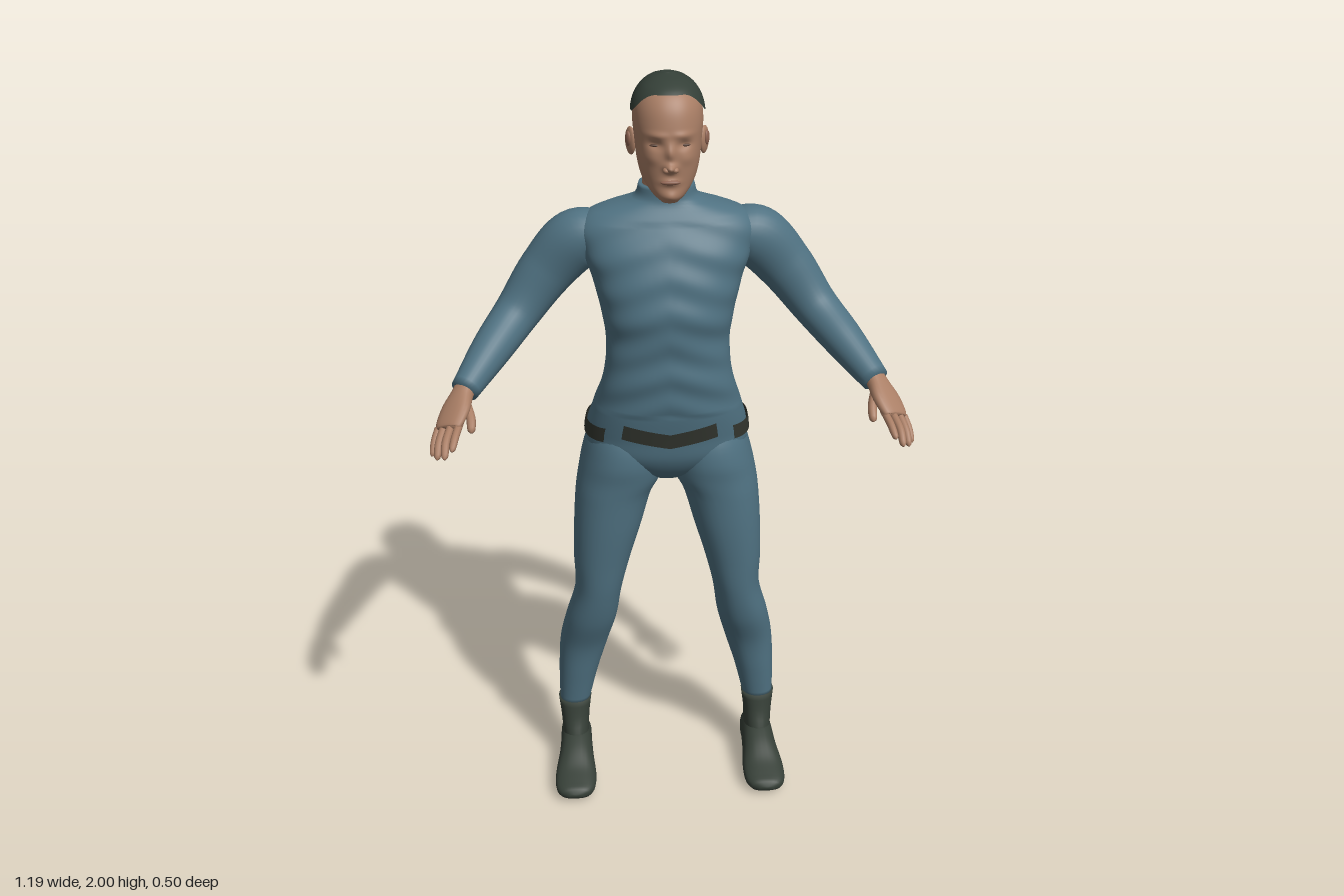
import * as THREE from 'three';

const mat = (name, color, side = THREE.FrontSide) => {
  const m = new THREE.MeshStandardMaterial({ color, side });
  m.name = name;
  return m;
};

// Smooth interpolation of a table whose first column is the parameter
function at(keys, s) {
  let i = 0;
  while (i < keys.length - 2 && s > keys[i + 1][0]) i++;
  const a = keys[i], b = keys[i + 1], p = keys[Math.max(i - 1, 0)], q = keys[Math.min(i + 2, keys.length - 1)];
  const h = b[0] - a[0], t = (s - a[0]) / h, t2 = t * t, t3 = t2 * t;
  return a.map((v, k) => (2 * t3 - 3 * t2 + 1) * v + (3 * t2 - 2 * t3) * b[k]
    + (t3 - 2 * t2 + t) * h * (b[k] - p[k]) / (b[0] - p[0])
    + (t3 - t2) * h * (q[k] - a[k]) / (q[0] - a[0]));
}

// Skin between closed rings; point(u, j) with u in 0..1 and angle index j
function skin(rows, cols, point, capStart = true, capEnd = true) {
  const pos = [], idx = [];
  for (let i = 0; i <= rows; i++)
    for (let j = 0; j < cols; j++) pos.push(...point(i / rows, (j / cols) * Math.PI * 2));
  for (let i = 0; i < rows; i++)
    for (let j = 0; j < cols; j++) {
      const a = i * cols + j, b = i * cols + (j + 1) % cols;
      idx.push(a, b, a + cols, b, b + cols, a + cols);
    }
  const cap = (row, flip) => {
    const c = [0, 0, 0], n = pos.length / 3;
    for (let j = 0; j < cols; j++) for (let k = 0; k < 3; k++) c[k] += pos[(row * cols + j) * 3 + k] / cols;
    pos.push(...c);
    for (let j = 0; j < cols; j++) {
      const a = row * cols + j, b = row * cols + (j + 1) % cols;
      flip ? idx.push(n, b, a) : idx.push(n, a, b);
    }
  };
  if (capStart) cap(0, true);
  if (capEnd) cap(rows, false);
  const g = new THREE.BufferGeometry();
  g.setAttribute('position', new THREE.Float32BufferAttribute(pos, 3));
  g.setIndex(idx);
  g.computeVertexNormals();
  return g;
}

const sp = (v, n) => Math.sign(v) * Math.abs(v) ** (2 / n);

// Horizontal section point; table rows are [y, x0, x1, zBack, zFront]
function section(keys, y, phi, n = 2.2, off = 0) {
  const [, x0, x1, zb, zf] = at(keys, y);
  return [(x0 + x1) / 2 + (Math.max((x1 - x0) / 2, 0) + off) * sp(Math.cos(phi), n), y,
    (zb + zf) / 2 - (Math.max((zf - zb) / 2, 0) + off) * sp(Math.sin(phi), n)];
}
const loft = (keys, rows, cols, n, rule = p => p) => skin(rows, cols, (u, phi) =>
  rule(section(keys, keys[0][0] + u * (keys.at(-1)[0] - keys[0][0]), phi, n)));

// Tube along a table [s, x, y, z, a, b]; a is the half-width along "hint"
function sweep(keys, hint, rows, cols, n = 2) {
  const s0 = keys[0][0], s1 = keys.at(-1)[0], e = (s1 - s0) * 0.01, V = s => new THREE.Vector3(...at(keys, s).slice(1, 4));
  return skin(rows, cols, (u, phi) => {
    const s = s0 + u * (s1 - s0), [, , , , a, b] = at(keys, s);
    const t = V(Math.min(s + e, s1)).sub(V(Math.max(s - e, s0))).normalize();
    const w = new THREE.Vector3(...hint).addScaledVector(t, -t.dot(new THREE.Vector3(...hint))).normalize();
    const v = t.clone().cross(w);
    return V(s).addScaledVector(w, a * sp(Math.cos(phi), n)).addScaledVector(v, b * sp(Math.sin(phi), n)).toArray();
  });
}

function mirrored(geo) {
  const g = geo.clone().scale(-1, 1, 1), i = g.index;
  for (let k = 0; k < i.count; k += 3) {
    const a = i.getX(k);
    i.setX(k, i.getX(k + 1));
    i.setX(k + 1, a);
  }
  return g;
}

const sym = rows => rows.map(([y, w, zb, zf]) => [y, -w, w, zb, zf]);
const TORSO = sym([[0.94, 0.05, -0.13, -0.04], [0.97, 0.12, -0.18, 0], [1.02, 0.2, -0.222, 0.03], [1.08, 0.209, -0.238, 0.04],
  [1.15, 0.192, -0.2, 0.052], [1.25, 0.163, -0.15, 0.062], [1.34, 0.156, -0.165, 0.062], [1.42, 0.168, -0.188, 0.068],
  [1.5, 0.188, -0.195, 0.052], [1.57, 0.212, -0.193, 0.028], [1.62, 0.222, -0.188, 0.002], [1.655, 0.195, -0.18, -0.018],
  [1.675, 0.14, -0.174, -0.032], [1.69, 0.085, -0.167, -0.038], [1.725, 0.068, -0.162, -0.04]]);
const HEAD = sym([[1.715, 0.02, 0, 0.042], [1.73, 0.04, -0.05, 0.05], [1.76, 0.062, -0.1, 0.05], [1.8, 0.074, -0.125, 0.053],
  [1.85, 0.08, -0.148, 0.054], [1.9, 0.084, -0.159, 0.049], [1.94, 0.078, -0.156, 0.036], [1.97, 0.06, -0.136, 0.01],
  [1.987, 0.035, -0.11, -0.025], [1.995, 0.008, -0.08, -0.06]]);
const LEG = [[0.2, 0.22, 0.305, -0.168, -0.083], [0.3, 0.195, 0.304, -0.19, -0.07], [0.4, 0.165, 0.298, -0.203, -0.055],
  [0.5, 0.14, 0.278, -0.175, -0.02], [0.6, 0.125, 0.252, -0.16, 0], [0.7, 0.1, 0.253, -0.167, 0.01], [0.8, 0.07, 0.25, -0.18, 0.018],
  [0.9, 0.04, 0.243, -0.205, 0.022], [0.95, 0.012, 0.235, -0.222, 0.025], [1, 0.004, 0.224, -0.247, 0.03],
  [1.06, 0.008, 0.205, -0.238, 0.02], [1.12, 0.03, 0.17, -0.19, -0.01]];
const BOOT = [[0.03, 0.225, 0.3, -0.18, -0.04], [0.1, 0.225, 0.3, -0.18, -0.045], [0.15, 0.223, 0.303, -0.172, -0.066], [0.205, 0.216, 0.309, -0.172, -0.079]];
const FOOT = [[-0.186, 0.262, 0.045, -0.186, 0.018, 0.02], [-0.165, 0.262, 0.052, -0.165, 0.04, 0.048], [-0.1, 0.262, 0.062, -0.1, 0.044, 0.06],
  [-0.04, 0.263, 0.055, -0.04, 0.048, 0.052], [0.03, 0.266, 0.038, 0.03, 0.057, 0.033], [0.08, 0.268, 0.03, 0.08, 0.054, 0.023],
  [0.105, 0.268, 0.027, 0.105, 0.04, 0.017], [0.114, 0.268, 0.026, 0.114, 0.02, 0.008]];
const ARM = [[0, 0.14, 1.59, -0.1, 0.05, 0.06], [1, 0.22, 1.582, -0.108, 0.076, 0.068], [2, 0.3, 1.5, -0.112, 0.07, 0.06],
  [3, 0.375, 1.4, -0.09, 0.058, 0.055], [4, 0.442, 1.332, -0.01, 0.05, 0.05], [5, 0.508, 1.265, 0.088, 0.035, 0.034]];
const PALM = [[0, 0.5, 1.275, 0.07, 0.028, 0.026], [1, 0.512, 1.26, 0.094, 0.029, 0.022], [2, 0.528, 1.235, 0.13, 0.041, 0.019],
  [3, 0.545, 1.208, 0.165, 0.038, 0.014], [4, 0.548, 1.203, 0.172, 0.026, 0.008]];

// Spine groove and soft folds in the cloth
function cloth([x, y, z]) {
  if (z < -0.06) z += 0.012 * Math.exp(-((x / 0.025) ** 2));
  if (y > 1.16 && y < 1.64) z += 0.0025 * Math.sin(y * 75 + Math.abs(x) * 28);
  return [x, y, z];
}

// Facial relief: [x, y, spreadX, spreadY, depth]
const RELIEF = [[0, 1.838, 0.01, 0.02, 0.011], [0, 1.803, 0.013, 0.011, 0.021], [0.034, 1.855, 0.017, 0.011, -0.009],
  [0.03, 1.878, 0.024, 0.008, 0.004], [0.042, 1.822, 0.018, 0.016, 0.004], [0, 1.767, 0.02, 0.009, 0.007], [0, 1.733, 0.018, 0.012, 0.006]];
function face([x, y, z]) {
  if (z > -0.03) for (const [cx, cy, sx, sy, d] of RELIEF)
    z += d * Math.exp(-(((Math.abs(x) - cx) / sx) ** 2) - ((y - cy) / sy) ** 2);
  return [x, y, z];
}

export function createModel() {
  const model = new THREE.Group();
  const suit = mat('blue cloth', 0x4f7181), skinTone = mat('skin', 0xa97e65), boots = mat('boot leather', 0x363f37),
    hair = mat('hair', 0x343f37, THREE.DoubleSide), belt = mat('belt leather', 0x33362f, THREE.DoubleSide),
    lips = mat('lips', 0x8f6452), eyes = mat('eyes', 0x5c4438);
  const add = (name, geo, m) => {
    const mesh = new THREE.Mesh(geo, m);
    mesh.name = name;
    model.add(mesh);
  };
  const pair = (name, geo, m) => {
    add('left' + name, geo, m);
    add('right' + name, mirrored(geo), m);
  };
  const ball = (x, y, z, rx, ry, rz, turn = 0) =>
    new THREE.SphereGeometry(1, 20, 14).scale(rx, ry, rz).rotateY(turn).translate(x, y, z);

  // Body suit
  add('torso', loft(TORSO, 110, 64, 2.3, cloth), suit);
  pair('Leg', loft(LEG, 64, 32, 2.15), suit);
  pair('Arm', sweep(ARM, [0.7, 0.7, 0], 44, 28), suit);

  // Boots
  pair('BootShaft', loft(BOOT, 12, 28, 2.2), boots);
  pair('Foot', sweep(FOOT, [1, 0, 0], 32, 28, 2.4), boots);

  // Hands
  pair('Palm', sweep(PALM, [0.06, -0.025, -0.025], 16, 20, 2.3), skinTone);
  const fingers = [
    ['Index', [0.517, 1.215, 0.162], [0.527, 1.2, 0.21], [0.535, 1.178, 0.247], 0.0095],
    ['Middle', [0.538, 1.21, 0.165], [0.55, 1.188, 0.215], [0.553, 1.16, 0.252], 0.01],
    ['Ring', [0.558, 1.2, 0.158], [0.569, 1.175, 0.196], [0.573, 1.146, 0.224], 0.0095],
    ['Little', [0.573, 1.192, 0.145], [0.582, 1.168, 0.17], [0.587, 1.14, 0.192], 0.0085],
    ['Thumb', [0.505, 1.245, 0.105], [0.492, 1.22, 0.148], [0.49, 1.194, 0.18], 0.0115]];
  for (const [name, a, b, c, r] of fingers)
    pair(name + 'Finger', sweep([[0, ...a, r, r], [1, ...b, r, r], [1.85, ...c.map((v, k) => v * 0.85 + b[k] * 0.15), r * 0.8, r * 0.8],
      [2, ...c, r * 0.3, r * 0.3]], [1, 0.2, 0], 14, 10), skinTone);

  // Head and neck
  add('neck', loft(sym([[1.66, 0.064, -0.155, -0.04], [1.73, 0.06, -0.15, -0.042], [1.81, 0.058, -0.145, -0.03]]), 10, 32, 2), skinTone);
  add('head', loft(HEAD, 90, 96, 2.15, face), skinTone);
  pair('Ear', ball(0.088, 1.838, -0.065, 0.009, 0.034, 0.022, -0.45), skinTone);
  pair('EarBowl', ball(0.094, 1.844, -0.06, 0.006, 0.018, 0.011, -0.45), lips);
  pair('Nostril', ball(0.011, 1.799, 0.058, 0.008, 0.007, 0.01), skinTone);
  pair('Eye', ball(0.034, 1.853, 0.035, 0.014, 0.0035, 0.006), eyes);
  add('mouth', ball(0, 1.768, 0.052, 0.024, 0.006, 0.008), lips);

  // Cropped hair following the skull, high at the brow and low at the nape
  const step = THREE.MathUtils.smoothstep;
  add('hair', skin(32, 128, (u, phi) => {
    const z = section(HEAD, 1.88, phi)[2];
    const low = 1.918 + 0.047 * step(z, -0.03, 0.045) - 0.15 * step(-z, 0.1, 0.118);
    const y = low + (1.995 - low) * Math.sin(u * Math.PI / 2);
    const p = section(HEAD, y, phi, 2.15, 0.006);
    p[1] += 0.005 * u;
    return p;
  }, false, true), hair);

  // Belt: back strap with side ends, and a shallow V at the front
  const strap = (a0, a1, mid) => {
    const N = 48, pos = [], idx = [];
    for (let i = 0; i <= N; i++) {
      const phi = a0 + (a1 - a0) * i / N, x = section(TORSO, 1.09, phi, 2.3)[0];
      for (const k of [-1, 0, 1]) {
        const p = cloth(section(TORSO, mid(x) + k * 0.021, phi, 2.3, 0.006));
        pos.push(...p);
      }
      if (i < N) for (const k of [0, 1]) {
        const a = i * 3 + k;
        idx.push(a, a + 3, a + 1, a + 3, a + 4, a + 1);
      }
    }
    const g = new THREE.BufferGeometry();
    g.setAttribute('position', new THREE.Float32BufferAttribute(pos, 3));
    g.setIndex(idx);
    g.computeVertexNormals();
    return g;
  };
  add('backBelt', strap(-0.72, Math.PI + 0.72, x => 1.1 - 0.012 * step(Math.abs(x), 0.1, 0.2)), belt);
  add('frontBelt', strap(-Math.PI / 2 - 0.56, -Math.PI / 2 + 0.56, x => 1.088 + 0.2 * Math.abs(x)), belt);
  return model;
}
